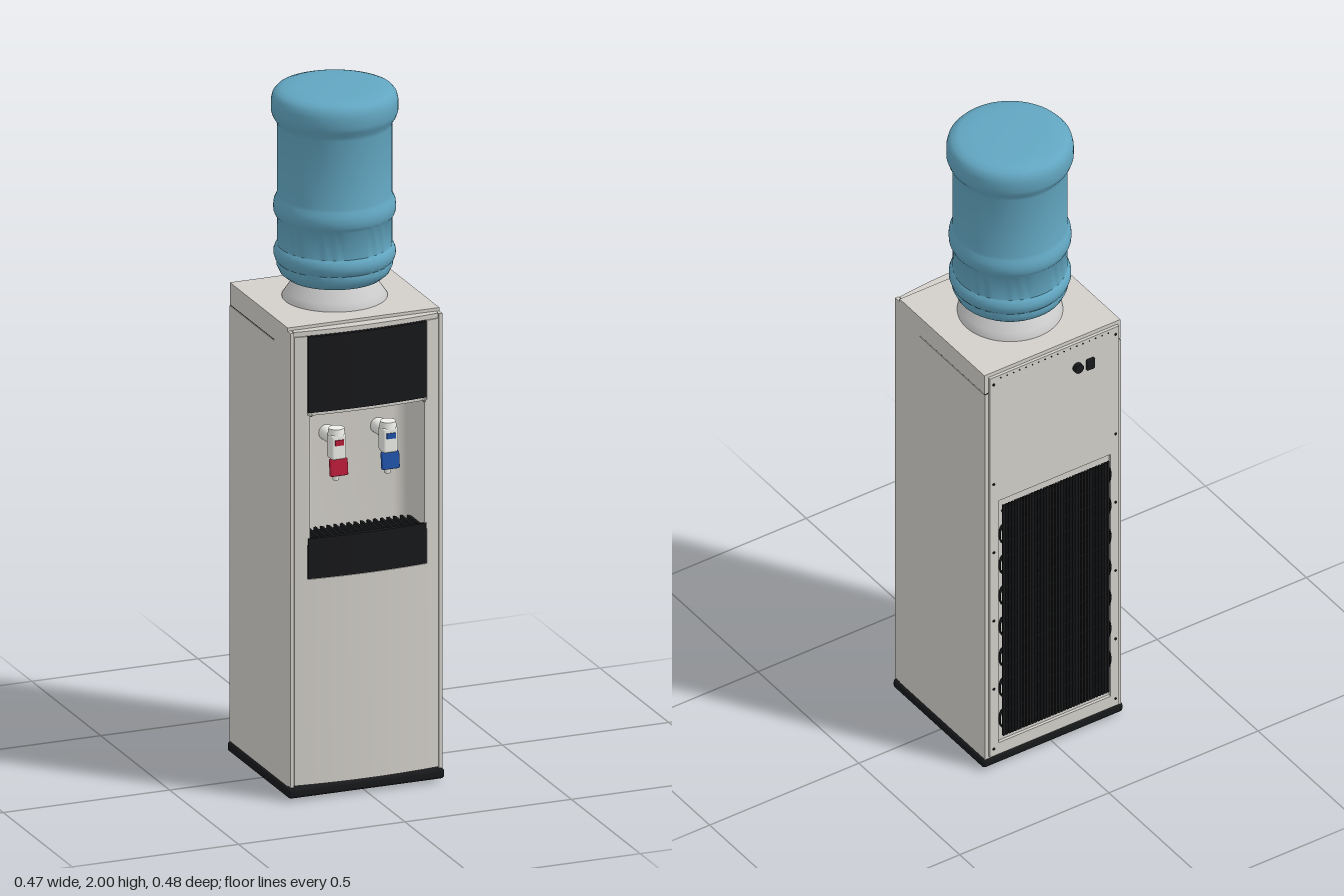
import * as THREE from 'three';
import { RoundedBoxGeometry } from 'three/addons/geometries/RoundedBoxGeometry.js';
import { toCreasedNormals } from 'three/addons/utils/BufferGeometryUtils.js';

const mat = (color) => new THREE.MeshStandardMaterial({ color });
const cream = mat(0xd3d0ca), grey = mat(0xcccccc), black = mat(0x17181a), white = mat(0xeeeeea);
const blueBottle = mat(0x62a6c1), red = mat(0xb81c38), blue = mat(0x1f52a8);

// Depth of the gently bowed front face at a given x
const bowZ = (x) => 0.236 - 0.3 * x * x;

export function createModel() {
  const root = new THREE.Group();

  function add(name, geometry, material, x = 0, y = 0, z = 0, parent = root) {
    const m = new THREE.Mesh(geometry, material);
    m.name = name;
    m.position.set(x, y, z);
    parent.add(m);
    return m;
  }
  // Box given by its limits
  function slab(name, material, x0, x1, y0, y1, z0, z1, parent = root) {
    return add(name, new THREE.BoxGeometry(x1 - x0, y1 - y0, z1 - z0), material,
      (x0 + x1) / 2, (y0 + y1) / 2, (z0 + z1) / 2, parent);
  }
  // Plan outline given as [x, z] points, raised from y0 to y1
  function raise(name, material, points, y0, y1) {
    const shape = new THREE.Shape(points.map(([x, z]) => new THREE.Vector2(x, -z)));
    const g = new THREE.ExtrudeGeometry(shape, { depth: y1 - y0, bevelEnabled: false });
    g.rotateX(-Math.PI / 2);
    return add(name, toCreasedNormals(g, 0.5), material, 0, y0, 0);
  }
  // Panel with the bowed front
  function bowed(name, material, x0, x1, y0, y1, zBack, out = 0) {
    const pts = [[x0, zBack]];
    for (let i = 0; i <= 16; i++) {
      const x = x0 + (x1 - x0) * i / 16;
      pts.push([x, bowZ(x) + out]);
    }
    pts.push([x1, zBack]);
    return raise(name, material, pts.reverse(), y0, y1);
  }
  // Upright rectangular frame with a rectangular opening
  function frame(name, material, [x, y0, y1], [hx, h0, h1], z0, z1) {
    const rect = (s, a, b, c) => s.moveTo(-a, b).lineTo(a, b).lineTo(a, c).lineTo(-a, c).closePath();
    const s = rect(new THREE.Shape(), x, y0, y1);
    s.holes.push(rect(new THREE.Path(), hx, h0, h1));
    add(name, new THREE.ExtrudeGeometry(s, { depth: z1 - z0, bevelEnabled: false }), material, 0, 0, z0);
  }

  // Base and feet
  add('base', new RoundedBoxGeometry(0.47, 0.03, 0.452, 3, 0.01), black, 0, 0.023, 0);
  for (const x of [-0.18, 0.18]) for (const z of [-0.17, 0.17])
    add('foot', new THREE.CylinderGeometry(0.022, 0.022, 0.012, 20), black, x, 0.006, z);

  // Cabinet, with the front part open around the niche
  slab('cabinetBody', cream, -0.228, 0.228, 0.036, 1.317, -0.222, 0.1);
  frame('cabinetFront', cream, [0.228, 0.036, 1.385], [0.18, 0.65, 1.36], 0.1, 0.2);
  slab('cabinetSeam', black, -0.226, 0.226, 1.317, 1.32, -0.22, 0.1);
  slab('cabinetTop', cream, -0.228, 0.228, 1.32, 1.385, -0.22, 0.1);

  // Bowed front door and the strips around the niche
  slab('frontGap', cream, -0.222, 0.222, 0.04, 0.65, 0.2, 0.206);
  bowed('frontPanel', cream, -0.216, 0.216, 0.045, 0.648, 0.204);
  for (const s of [-1, 1]) {
    const [a, b] = s < 0 ? [-0.216, -0.18] : [0.18, 0.216];
    bowed('nicheSideStrip', cream, a, b, 0.648, 1.362, 0.2);
    slab('cornerStrip', cream, s * 0.223 - 0.005, s * 0.223 + 0.005, 0.04, 1.375, 0.2, 0.222);
    const tip = add('nicheLip', new THREE.ConeGeometry(0.006, 0.014, 4), cream, s * 0.17, 1.13, 0.233);
    tip.rotation.x = Math.PI / 2;
  }
  bowed('frontTopStrip', cream, -0.216, 0.216, 1.362, 1.376, 0.2, -0.004);

  // Upper black panel
  bowed('upperPanel', black, -0.178, 0.178, 1.137, 1.36, 0.1, 0.002);
  bowed('nicheCeiling', cream, -0.18, 0.18, 1.127, 1.137, 0.1, -0.004);

  // Niche liner with rounded inside corners
  const liner = [[-0.18, 0.226], [-0.18, 0.1], [0.18, 0.1], [0.18, 0.226], [0.172, 0.226]];
  for (let i = 0; i <= 10; i++) {
    const a = i / 10 * Math.PI / 2;
    liner.push([0.12 + 0.048 * Math.cos(a), 0.17 - 0.048 * Math.sin(a)]);
  }
  for (let i = 10; i >= 0; i--) {
    const a = i / 10 * Math.PI / 2;
    liner.push([-0.12 - 0.048 * Math.cos(a), 0.17 - 0.048 * Math.sin(a)]);
  }
  liner.push([-0.172, 0.226]);
  raise('nicheLiner', cream, liner.reverse(), 0.75, 1.13);

  // Drip tray: bowed front with slats on top
  bowed('dripTray', black, -0.178, 0.178, 0.65, 0.752, 0.1, 0.002);
  bowed('dripTrayRim', black, -0.178, 0.178, 0.75, 0.768, 0.222, 0.002);
  for (let i = 0; i < 17; i++) {
    const x = -0.16 + i * 0.02;
    slab('dripSlat', black, x - 0.004, x + 0.004, 0.75, 0.766, 0.135, 0.224);
  }

  // Taps
  function tap(name, x, color) {
    const g = new THREE.Group();
    g.name = name;
    g.position.set(x, 0, 0);
    root.add(g);
    const stem = add('tapStem', new THREE.CylinderGeometry(0.019, 0.023, 0.08, 24), white, 0, 1.035, 0.155, g);
    stem.rotation.x = Math.PI / 2;
    add('tapBody', new RoundedBoxGeometry(0.046, 0.075, 0.04, 3, 0.008), white, 0, 1.02, 0.198, g);
    add('tapCap', new THREE.CylinderGeometry(0.022, 0.025, 0.02, 24), white, 0, 1.062, 0.196, g);
    add('tapMark', new THREE.BoxGeometry(0.026, 0.016, 0.004), color, 0, 1.034, 0.219, g);
    add('tapNeck', new THREE.BoxGeometry(0.034, 0.02, 0.022), white, 0, 0.986, 0.2, g);
    const lever = add('tapLever', new RoundedBoxGeometry(0.053, 0.05, 0.014, 3, 0.004), color, 0, 0.961, 0.212, g);
    lever.rotation.x = -0.12;
    add('tapNozzle', new THREE.CylinderGeometry(0.013, 0.009, 0.07, 20), white, 0, 0.953, 0.192, g);
  }
  tap('hotTap', -0.08, red);
  tap('coldTap', 0.075, blue);

  // Collar and bottle
  const lathe = (pts) => {
    const g = new THREE.LatheGeometry(pts.map(([r, y]) => new THREE.Vector2(r, y)), 64);
    return toCreasedNormals(g, 0.7);
  };
  add('collar', lathe([[0, 1.38], [0.147, 1.38], [0.147, 1.388], [0.135, 1.405], [0.115, 1.436],
    [0.11, 1.442], [0, 1.442]]), grey, 0, 0, -0.01);
  const lower = [[0, 1.438], [0.112, 1.438], [0.136, 1.446], [0.153, 1.46], [0.162, 1.48], [0.16, 1.491],
    [0.166, 1.498], [0.17, 1.511], [0.17, 1.522], [0.166, 1.533], [0.16, 1.54], [0.16, 1.62]];
  const upper = [[0.166, 1.628], [0.17, 1.638], [0.171, 1.652], [0.169, 1.668], [0.163, 1.68], [0.16, 1.69],
    [0.16, 1.89], [0.163, 1.902], [0.172, 1.915], [0.177, 1.93], [0.177, 1.962], [0.173, 1.979],
    [0.163, 1.991], [0.145, 1.997], [0.11, 2], [0, 2]];
  add('bottle', lathe([...lower, ...upper]), blueBottle, 0, 0, -0.01);

  // Rear panel with its opening, screws and sockets
  frame('rearPanel', cream, [0.216, 0.045, 1.375], [0.188, 0.085, 0.935], -0.231, -0.222);
  const disc = (name, material, r, x, y, z, h) => {
    add(name, new THREE.CylinderGeometry(r, r, h, 16), material, x, y, z).rotation.x = Math.PI / 2;
  };
  for (const x of [-0.204, 0.204])
    for (const y of [0.07, 0.28, 0.52, 0.76, 1.0, 1.35]) disc('rearScrew', black, 0.004, x, y, -0.231, 0.004);
  for (let i = 0; i < 18; i++) disc('rearTopScrew', black, 0.002, -0.18 + i * 0.0212, 1.365, -0.231, 0.003);
  disc('cordOutlet', black, 0.015, -0.075, 1.292, -0.236, 0.016);
  add('powerSwitch', new RoundedBoxGeometry(0.026, 0.036, 0.01, 2, 0.003), black, -0.118, 1.286, -0.234);

  // Condenser grille: fine wires on a serpentine of cross tubes
  for (let i = 0; i < 37; i++) {
    const x = -0.175 + i * 0.35 / 36;
    slab('grilleWire', black, x - 0.0035, x + 0.0035, 0.11, 0.92, -0.24, -0.235);
  }
  const rows = 15;
  for (let i = 0; i < rows; i++) {
    const y = 0.14 + i * 0.054;
    add('grilleTube', new THREE.CylinderGeometry(0.005, 0.005, 0.354, 10), black, 0, y, -0.233)
      .rotation.z = Math.PI / 2;
    if (i === rows - 1) continue;
    const s = i % 2 ? -1 : 1;
    const bend = add('grilleBend', new THREE.TorusGeometry(0.027, 0.005, 8, 12, Math.PI), black,
      s * 0.176, y + 0.027, -0.233);
    bend.rotation.z = -s * Math.PI / 2;
    bend.scale.y = 0.35;
  }
  return root;
}
